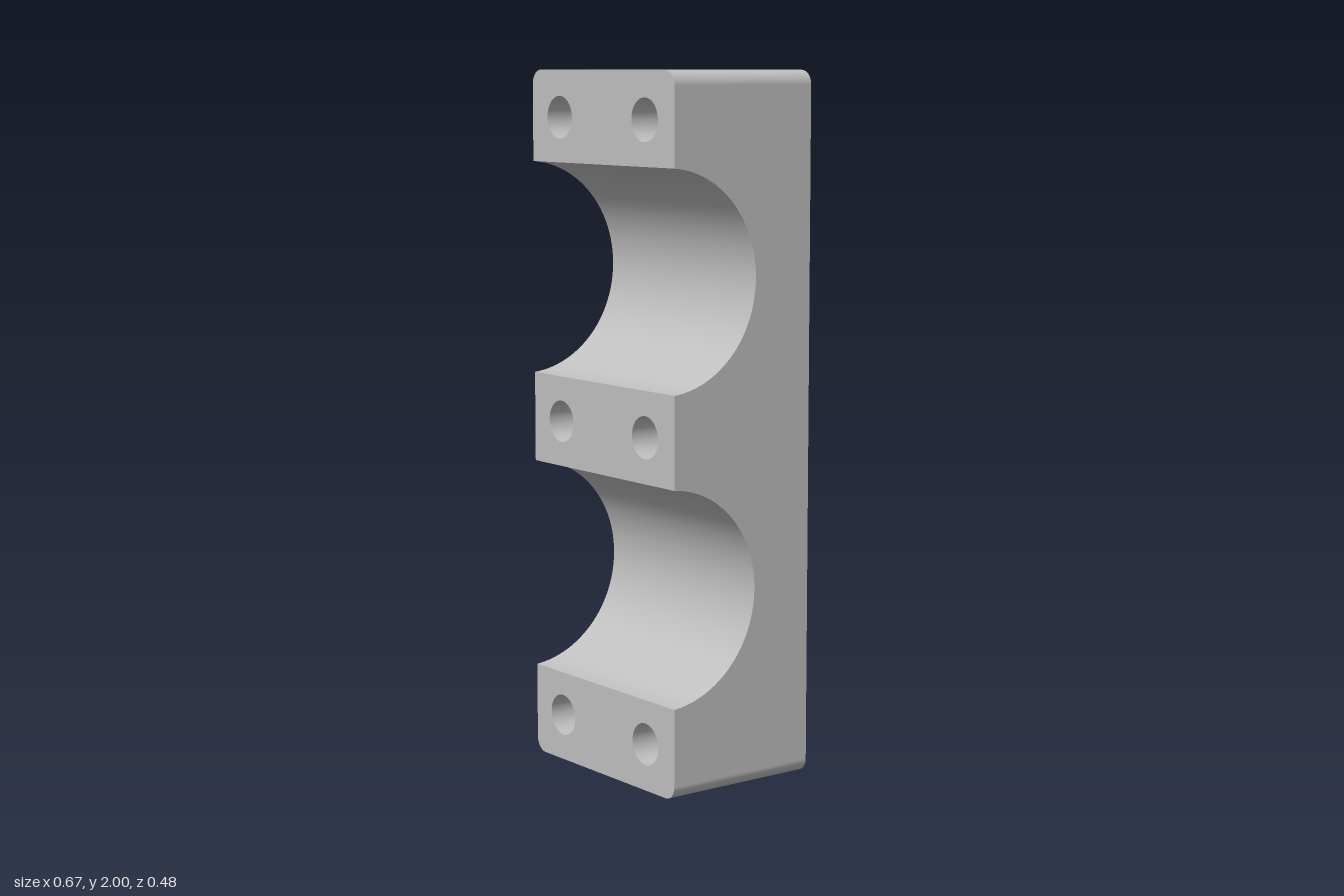
import * as THREE from 'three';
import { mergeGeometries } from 'three/addons/utils/BufferGeometryUtils.js';

const W = 0.333, D = 0.238, H = 2;            // half width, half depth, height
const C = 0.04;                               // corner radius
const HOLE_R = 0.06, HOLE_X = 0.2, HOLE_Y = [0.133, 1, 1.867];
const R = 0.306, AXIS_Z = 0.262, TROUGH_Y = [0.565, 1.435];
const HALF = Math.acos((AXIS_Z - D) / R);     // half angle of a trough arc
const CHORD = R * Math.sin(HALF);             // half opening at the front

// Turns a surface inside out
function inward(geo) {
  const idx = geo.index.array;
  for (let i = 0; i < idx.length; i += 3) [idx[i], idx[i + 1]] = [idx[i + 1], idx[i]];
  const n = geo.attributes.normal.array;
  for (let i = 0; i < n.length; i++) n[i] = -n[i];
  return geo;
}

// Flat plate from y0 to y1 with corner radii and pairs of bolt holes
function plate(y0, y1, rBottom, rTop, holeYs) {
  const pts = [];
  [[1, y0, rBottom, 1], [1, y1, rTop, -1], [-1, y1, rTop, -1], [-1, y0, rBottom, 1]].forEach(([sx, y, r, sy], k) => {
    const steps = r ? 10 : 0;
    for (let i = 0; i <= steps; i++) {
      const a = -Math.PI / 2 + k * Math.PI / 2 + (steps ? i / steps : 0) * Math.PI / 2;
      pts.push(new THREE.Vector2(sx * (W - r) + r * Math.cos(a), y + sy * r + r * Math.sin(a)));
    }
  });
  const shape = new THREE.Shape(pts);
  for (const y of holeYs) for (const s of [-1, 1]) {
    shape.holes.push(new THREE.Path().absarc(s * HOLE_X, y, HOLE_R, 0, Math.PI * 2, true));
  }
  return new THREE.ShapeGeometry(shape, 20);
}

// Side outline with the two round cut-outs
function sideFace(s) {
  const pts = [[-D, C], [-D, H - C], [D, H - C]];
  for (const y of [...TROUGH_Y].reverse()) {
    for (let i = 0; i <= 48; i++) {
      const a = Math.PI / 2 + (Math.PI / 2 - HALF) + (i / 48) * 2 * HALF;
      pts.push([AXIS_Z + R * Math.cos(a), y + R * Math.sin(a)]);
    }
  }
  pts.push([D, C]);
  const shape = new THREE.Shape(pts.map(([z, y]) => new THREE.Vector2(-s * z, y)));
  return new THREE.ShapeGeometry(shape).rotateY(s * Math.PI / 2).translate(s * W, 0, 0);
}

export function createModel() {
  const group = new THREE.Group();
  const grey = new THREE.MeshStandardMaterial({ color: 0xc0c0c0 });
  grey.name = 'grey';
  const add = (name, geos) => {
    const mesh = new THREE.Mesh(mergeGeometries(geos), grey);
    mesh.name = name;
    group.add(mesh);
  };

  // Front pads between the troughs, and the full back
  const [lo, hi] = TROUGH_Y;
  add('frontPads', [
    plate(0, lo - CHORD, C, 0, [HOLE_Y[0]]),
    plate(lo + CHORD, hi - CHORD, 0, 0, [HOLE_Y[1]]),
    plate(hi + CHORD, H, 0, C, [HOLE_Y[2]]),
  ].map((g) => g.translate(0, 0, D)));
  add('backFace', [plate(0, H, C, C, HOLE_Y).rotateY(Math.PI).translate(0, 0, -D)]);
  add('sideFaces', [sideFace(1), sideFace(-1)]);

  // Flat ends
  add('endFaces', [1, -1].map((s) => new THREE.PlaneGeometry(2 * (W - C), 2 * D)
    .rotateX(-s * Math.PI / 2).translate(0, s > 0 ? H : 0, 0)));

  // Rounded edges running front to back
  add('roundedEdges', [[1, C], [1, H - C], [-1, H - C], [-1, C]].map(([s, y], k) =>
    new THREE.CylinderGeometry(C, C, 2 * D, 10, 1, true, k * Math.PI / 2, Math.PI / 2)
      .rotateX(Math.PI / 2).translate(s * (W - C), y, 0)));

  // Pipe troughs
  add('troughs', TROUGH_Y.map((y) => inward(
    new THREE.CylinderGeometry(R, R, 2 * W, 48, 1, true, Math.PI - HALF, 2 * HALF)
      .rotateZ(Math.PI / 2).translate(0, y, AXIS_Z))));

  // Bolt hole walls
  add('boltHoles', HOLE_Y.flatMap((y) => [-1, 1].map((s) => inward(
    new THREE.CylinderGeometry(HOLE_R, HOLE_R, 2 * D, 40, 1, true)
      .rotateX(Math.PI / 2).translate(s * HOLE_X, y, 0)))));

  return group;
}
